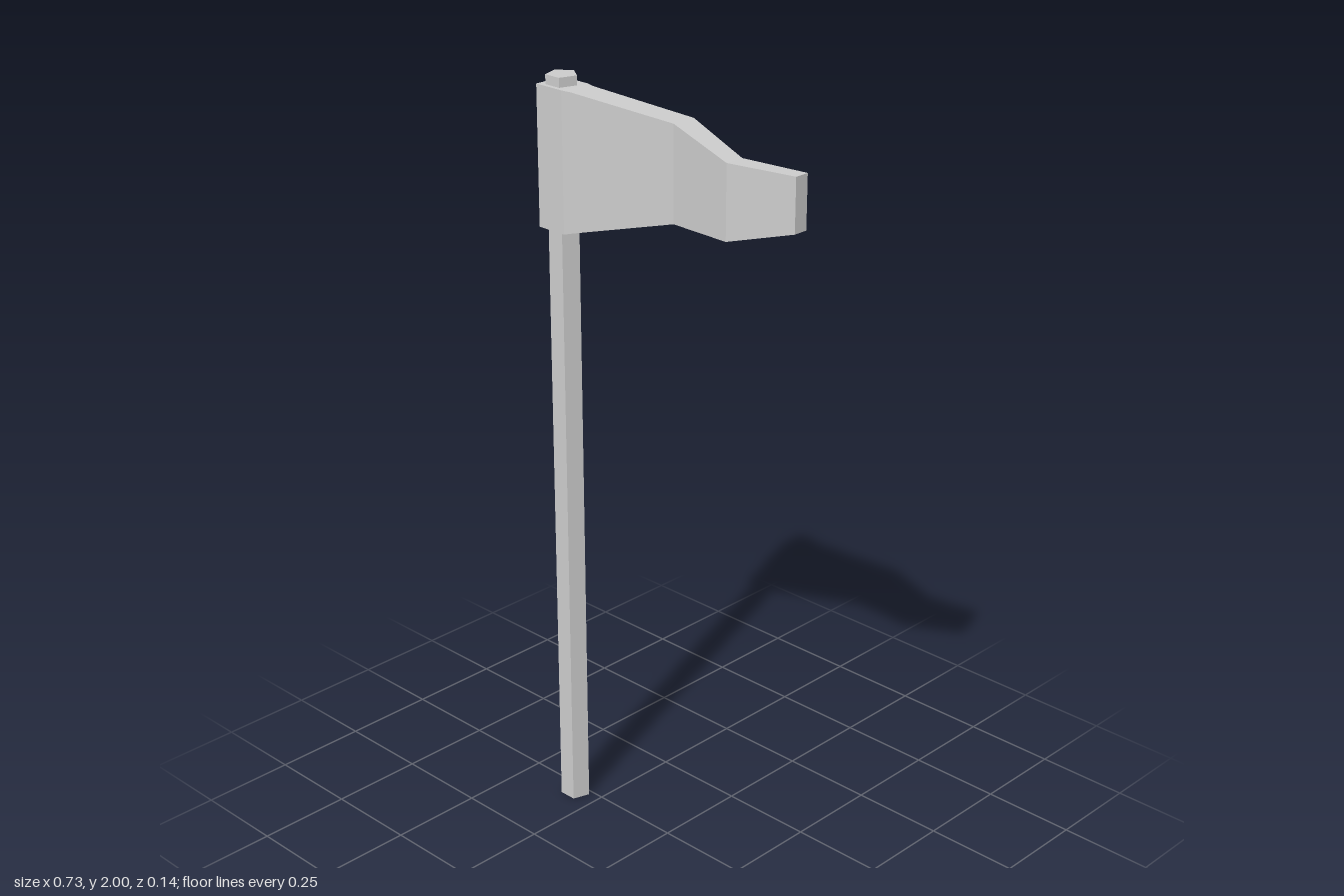
import * as THREE from 'three';

// Cross-sections along the flag: x, front z, back z, bottom y, top y
const SECTIONS = [
  [-0.366, 0.07, -0.016, 1.62, 1.976],
  [-0.28, 0.07, -0.016, 1.62, 1.976],
  [-0.26, 0.059, -0.016, 1.625, 1.973],
  [0.015, -0.005, -0.072, 1.698, 1.94],
  [0.197, 0.012, -0.04, 1.703, 1.89],
  [0.366, -0.033, -0.072, 1.75, 1.885],
];

// Lofts rectangular sections into a closed, faceted solid
function loftSections(sections) {
  const rings = sections.map(([x, front, back, bottom, top]) => [
    [x, bottom, front], [x, bottom, back], [x, top, back], [x, top, front],
  ]);
  const positions = [];
  const quad = (a, b, c, d) => positions.push(...a, ...b, ...c, ...a, ...c, ...d);
  for (let i = 0; i < rings.length - 1; i++) {
    for (let k = 0; k < 4; k++) {
      const n = (k + 1) % 4;
      quad(rings[i][k], rings[i][n], rings[i + 1][n], rings[i + 1][k]);
    }
  }
  quad(...[...rings[0]].reverse());
  quad(...rings[rings.length - 1]);
  const geometry = new THREE.BufferGeometry();
  geometry.setAttribute('position', new THREE.Float32BufferAttribute(positions, 3));
  geometry.computeVertexNormals();
  return geometry;
}

export function createModel() {
  const group = new THREE.Group();
  group.name = 'flagOnPole';

  const grey = new THREE.MeshStandardMaterial({ color: 0xcccccc, flatShading: true });
  grey.name = 'light grey';

  // Five-sided pole with one edge pointing to the back
  const pole = new THREE.Mesh(
    new THREE.CylinderGeometry(0.04, 0.04, 2, 5, 1, false, Math.PI), grey);
  pole.name = 'pole';
  pole.position.set(-0.323, 1, 0.026);
  group.add(pole);

  // Thick waving flag wrapped around the pole
  const flag = new THREE.Mesh(loftSections(SECTIONS), grey);
  flag.name = 'flag';
  group.add(flag);

  return group;
}
